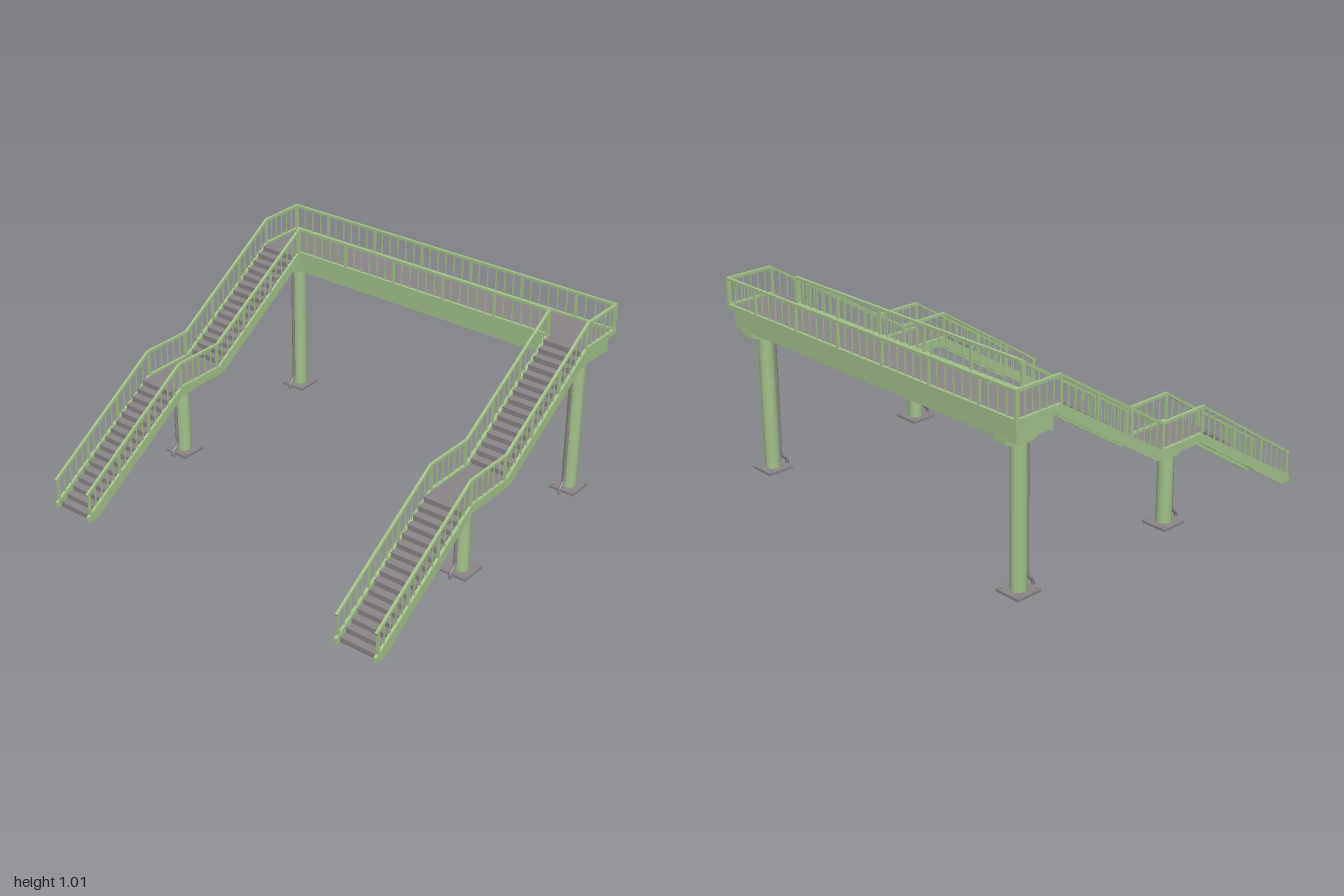
import * as THREE from 'three';

const green = new THREE.MeshStandardMaterial({ color: 0xa3c08a });
green.name = 'pale green steel';
const grey = new THREE.MeshStandardMaterial({ color: 0x8a8587 });
grey.name = 'warm grey';

// Side profile lines as [z, y], from the foot of the stairs to the back of the deck
const curb = [[0.94, 0.03], [0.245, 0.465], [-0.03, 0.465], [-0.68, 0.88], [-0.94, 0.88]];
const hand = [[0.93, 0.153], [0.255, 0.592], [-0.027, 0.592], [-0.678, 1.006], [-0.93, 1.006]];

function heightAt(line, z) {
  for (let i = 0; i < line.length - 1; i++) {
    const [z0, y0] = line[i], [z1, y1] = line[i + 1];
    if (z <= z0 && z >= z1) return y0 + (y1 - y0) * (z0 - z) / (z0 - z1);
  }
  return z > line[0][0] ? line[0][1] : line[line.length - 1][1];
}

function add(parent, name, geometry, material, x = 0, y = 0, z = 0) {
  const mesh = new THREE.Mesh(geometry, material);
  mesh.name = name;
  mesh.position.set(x, y, z);
  parent.add(mesh);
  return mesh;
}

function box(parent, name, material, w, h, d, x, y, z) {
  return add(parent, name, new THREE.BoxGeometry(w, h, d), material, x, y, z);
}

// Square bar from a to b
function bar(parent, name, a, b, size) {
  const p = new THREE.Vector3(...a), q = new THREE.Vector3(...b);
  const mesh = box(parent, name, green, size, size, p.distanceTo(q) + size * 0.5, 0, 0, 0);
  mesh.position.copy(p).add(q).multiplyScalar(0.5);
  mesh.lookAt(q);
}

function upright(parent, name, size, x, z, y0, y1) {
  box(parent, name, green, size, y1 - y0, size, x, (y0 + y1) / 2, z);
}

// Plate drawn in the z-y plane, with its thickness centred on x
function sidePlate(parent, name, points, thickness, x) {
  const shape = new THREE.Shape(points.map(p => new THREE.Vector2(...p)));
  const geo = new THREE.ExtrudeGeometry(shape, { depth: thickness, bevelEnabled: false });
  geo.rotateY(-Math.PI / 2).translate(thickness / 2, 0, 0);
  add(parent, name, geo, green, x);
}

// Posts at the given stations with thin balusters between them
function fillRailing(parent, stations, counts, place) {
  stations.forEach((s, i) => {
    place('railingPost', 0.012, s);
    if (i === stations.length - 1) return;
    const n = counts[i] + 1;
    for (let k = 1; k < n; k++) place('baluster', 0.005, s + (stations[i + 1] - s) * k / n);
  });
}

function sideRailing(parent, x, outer) {
  const rail = new THREE.Group();
  rail.name = 'stairRailing';
  parent.add(rail);
  const pts = outer ? hand : [...hand.slice(0, 3), [-0.69, 1.006]];
  for (let i = 0; i < pts.length - 1; i++) {
    bar(rail, 'handrail', [x, pts[i][1], pts[i][0]], [x, pts[i + 1][1], pts[i + 1][0]], 0.014);
  }
  const stations = [0.92, 0.705, 0.49, 0.25, -0.02, -0.235, -0.45, -0.675];
  const counts = [4, 4, 4, 5, 4, 4, 4];
  if (outer) { stations.push(-0.925); counts.push(5); }
  fillRailing(rail, stations, counts, (name, size, z) =>
    upright(rail, name, size, x, z, heightAt(curb, z) - 0.005, heightAt(hand, z)));
}

// Closed steps climbing from (z0, y0) to (z1, y1)
function flight(parent, x, z0, y0, z1, y1, count) {
  const run = (z0 - z1) / count, rise = (y1 - y0) / count;
  for (let i = 0; i < count; i++) {
    const y = y0 + rise * (i + 1), z = z0 - run * i;
    box(parent, 'riser', grey, 0.204, rise, 0.004, x, y - rise / 2, z - 0.002);
    box(parent, 'tread', grey, 0.204, 0.006, run + 0.004, x, y - 0.003, z - run / 2);
  }
}

function column(parent, x, z, top, neck, bracketHalf, drop, pipeOffset) {
  const group = new THREE.Group();
  group.name = 'supportColumn';
  group.position.set(x, 0, z);
  parent.add(group);
  add(group, 'columnShaft', new THREE.CylinderGeometry(0.038, 0.038, top - 0.004, 32), green, 0, top / 2 + 0.002, 0);

  // Square foot plate with a round opening and corner bolts
  const plate = new THREE.Shape([[-0.07, -0.07], [0.07, -0.07], [0.07, 0.07], [-0.07, 0.07]]
    .map(p => new THREE.Vector2(...p)));
  const hole = new THREE.Path();
  hole.absarc(0, 0, 0.036, 0, Math.PI * 2, true);
  plate.holes.push(hole);
  const foot = new THREE.ExtrudeGeometry(plate, { depth: 0.014, bevelEnabled: false });
  foot.rotateX(-Math.PI / 2);
  add(group, 'footPlate', foot, grey, 0, 0.005, 0);
  for (const sx of [-1, 1]) for (const sz of [-1, 1]) {
    add(group, 'bolt', new THREE.CylinderGeometry(0.006, 0.006, 0.022, 8), grey, sx * 0.055, 0.012, sz * 0.055);
  }

  // Tapered bracket under the structure
  const b = bracketHalf;
  sidePlate(group, 'bracket', [[-b, top], [-b, top - drop], [-0.038, neck], [0.038, neck], [b, top - drop], [b, top]], 0.07, 0);

  // Drain pipe down the front of the column, kicked out at the foot
  const path = new THREE.CatmullRomCurve3([
    [neck + 0.03, 0], [neck - 0.06, 0], [0.11, 0], [0.075, 0], [0.055, 0.008], [0.035, 0.03], [0.022, 0.036], [0.002, 0.036],
  ].map(([y, dz]) => new THREE.Vector3(0, y, pipeOffset + dz)), false, 'centripetal');
  add(group, 'drainPipe', new THREE.TubeGeometry(path, 40, 0.008, 10), grey);
}

function stair(parent, side) {
  const group = new THREE.Group();
  group.name = side > 0 ? 'leftStair' : 'rightStair';
  parent.add(group);
  const x = side * 0.88;

  // Stringers: the outer one runs on along the deck end
  const under = [[-0.06, 0.42], [0.235, 0.42], [0.88, 0], [0.94, 0]];
  sidePlate(group, 'outerStringer', [...curb, [-0.94, 0.855], [-0.73, 0.855], ...under], 0.015, side * 0.9905);
  sidePlate(group, 'innerStringer', [...curb.slice(0, 4), [-0.69, 0.88], [-0.69, 0.83], ...under], 0.015, side * 0.7725);
  sideRailing(group, side * 0.9905, true);
  sideRailing(group, side * 0.7725, false);

  flight(group, x, 0.915, 0, 0.27, 0.455, 16);
  box(group, 'landing', grey, 0.204, 0.02, 0.33, x, 0.445, 0.105);
  flight(group, x, -0.06, 0.455, -0.68, 0.87, 15);

  column(group, x, 0.135, 0.425, 0.35, 0.11, 0.04, 0.052);
  column(group, x, -0.81, 0.765, 0.71, 0.107, 0.03, 0.052);
}

function bridge(parent) {
  const group = new THREE.Group();
  group.name = 'bridge';
  parent.add(group);
  box(group, 'deck', grey, 1.968, 0.014, 0.25, 0, 0.863, -0.808);
  box(group, 'backEdgeBeam', green, 1.996, 0.025, 0.015, 0, 0.8675, -0.9325);
  box(group, 'frontEdgeBeam', green, 1.545, 0.025, 0.015, 0, 0.8675, -0.6875);

  // Twin girders tied by cross plates
  for (const z of [-0.708, -0.908]) {
    box(group, 'girder', green, 1.95, 0.098, 0.014, 0, 0.807, z);
  }
  for (let i = 0; i <= 8; i++) {
    box(group, 'crossPlate', green, 0.01, 0.09, 0.19, -0.968 + i * 0.242, 0.811, -0.808);
  }

  // Long railings at the back and front of the deck
  const inner = [-0.7725, -0.46, -0.153, 0.153, 0.46, 0.7725];
  const rows = [
    [-0.9325, [-0.9905, ...inner, 0.9905], [3, 5, 5, 5, 5, 5, 3]],
    [-0.6875, inner, [5, 5, 5, 5, 5]],
  ];
  for (const [z, stations, counts] of rows) {
    const end = stations[stations.length - 1];
    bar(group, 'handrail', [-end, 1.006, z], [end, 1.006, z], 0.014);
    fillRailing(group, stations, counts, (name, size, x) => upright(group, name, size, x, z, 0.875, 1.006));
  }
}

export function createModel() {
  const model = new THREE.Group();
  model.name = 'footbridge';
  bridge(model);
  for (const side of [-1, 1]) stair(model, side);
  return model;
}
